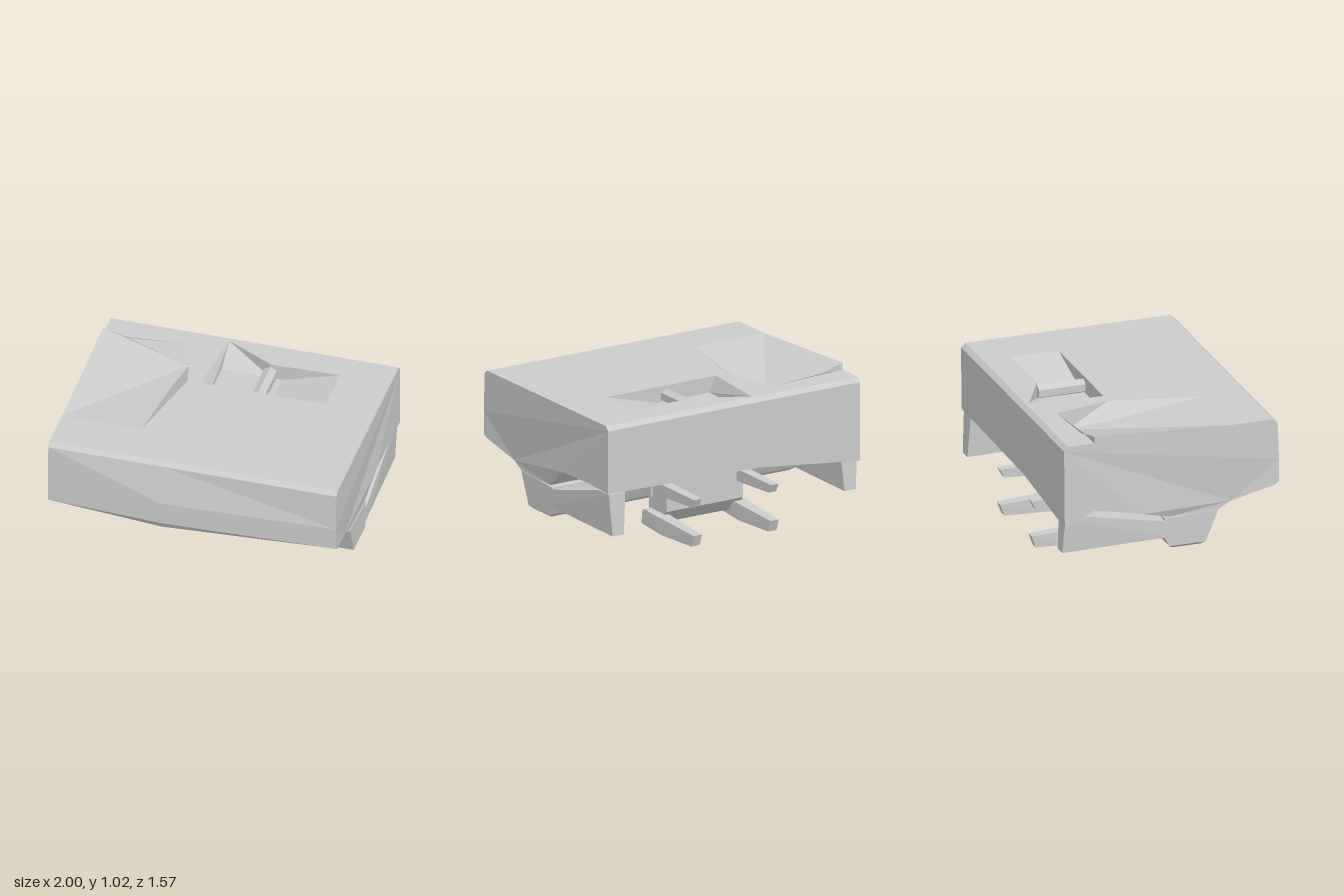
import * as THREE from 'three';
import { ConvexGeometry } from 'three/addons/geometries/ConvexGeometry.js';

const mat = new THREE.MeshStandardMaterial({ color: 0xcccccc, flatShading: true, side: THREE.DoubleSide });
const V = (p) => new THREE.Vector3(...p);

// Flat faces, each given as a fan of corners
function faces(list) {
  const pos = [];
  for (const f of list)
    for (let i = 1; i < f.length - 1; i++) pos.push(...f[0], ...f[i], ...f[i + 1]);
  const g = new THREE.BufferGeometry();
  g.setAttribute('position', new THREE.Float32BufferAttribute(pos, 3));
  g.computeVertexNormals();
  return g;
}

// Solid with its [z, y] outline spanning x0..x1, optionally inset at both ends
const bar = (outline, x0, x1, inset = 0) => new ConvexGeometry(
  outline.flatMap(([z, y, narrow = 0]) => [
    V([x0 + inset * narrow, y, z]), V([x1 - inset * narrow, y, z])]));

export function createModel() {
  const group = new THREE.Group();
  const add = (name, geometry) => {
    const m = new THREE.Mesh(geometry, mat);
    m.name = name;
    group.add(m);
    return m;
  };

  // Main shell: three side profiles [x, y, z] joined along x, open on top
  const profile = (x, low, nose, chin, p8, p9, p10) => [
    [x, 0.97, 0.70], [x, 0.945, 0.73], [x, 0.68, nose], [x, 0.52, nose],
    [x, chin, nose - 0.03], [low, 0.415, 0.41], [low, 0.36, 0.31], [low, 0.36, -0.03],
    [x, p8, -0.22], [x, p9, -0.56], [x, p10, -0.78], [x, 0.94, -0.785], [x, 0.97, -0.755]];
  const stations = [
    profile(-1, -0.97, 0.74, 0.5, 0.415, 0.49, 0.39),
    profile(-0.2, -0.2, 0.785, 0.47, 0.48, 0.5, 0.48),
    profile(1, 0.97, 0.74, 0.5, 0.505, 0.515, 0.5)];
  const shell = [];
  for (let s = 0; s < 2; s++) {
    const a = stations[s], b = stations[s + 1];
    for (let i = 0; i < a.length - 1; i++) shell.push([a[i], a[i + 1], b[i + 1]], [a[i], b[i + 1], b[i]]);
  }
  for (const [end, flip] of [[stations[0], true], [stations[2], false]]) {
    const tris = THREE.ShapeUtils.triangulateShape(end.map((p) => new THREE.Vector2(-p[2], p[1])), []);
    for (const t of tris) {
      const f = t.map((i) => end[i]);
      shell.push(flip ? f.reverse() : f);
    }
  }
  add('bodyShell', faces(shell));

  // Roof with a side notch and a central opening
  const T = 0.97, D = 0.86;
  const v2 = (l) => l.map(([x, z]) => new THREE.Vector2(x, -z));
  const roof = new THREE.Shape(v2([[-1, -0.755], [1, -0.755], [1, 0.7], [-1, 0.7], [-1, 0.39],
    [-0.3, 0.39], [-0.31, -0.22], [-0.41, -0.62], [-1, -0.57]]));
  roof.holes.push(new THREE.Path(v2([[-0.17, -0.73], [0.17, -0.55], [0.65, -0.56], [0.65, -0.22], [-0.22, -0.22]])));
  add('roof', new THREE.ShapeGeometry(roof).rotateX(-Math.PI / 2).translate(0, T, 0));

  // Tilted roof panel, high on the outer edge and sunk on the inner edge
  const outer = [-1, T, 0.39], tip = [-1, 1.02, -0.57], base = [-1, T, -0.57], cross = [-0.82, T, -0.57];
  const sunk = [-0.4, 0.84, -0.55], mid = [-0.43, 0.88, -0.22], inner = [-0.45, T, 0.39];
  add('tiltedPanel', faces([
    [outer, inner, mid], [outer, mid, sunk], [outer, sunk, tip],
    [inner, [-0.3, T, 0.39], [-0.31, T, -0.22], mid],
    [mid, [-0.31, T, -0.22], sunk], [sunk, [-0.31, T, -0.22], [-0.41, T, -0.62]],
    [cross, sunk, [-0.41, T, -0.62]], [tip, cross, base], [outer, tip, base]]));

  // Sunken bay with a ramp out on one side
  add('roofBay', faces([
    [[-0.17, D, -0.22], [0.25, D, -0.22], [0.25, D, -0.55], [-0.17, D, -0.55]],
    [[0.25, D, -0.22], [0.65, T, -0.22], [0.65, T, -0.56], [0.25, D, -0.55]],
    [[-0.17, T, -0.73], [-0.17, D, -0.55], [0.17, D, -0.55], [0.17, T, -0.55]],
    [[0.17, T, -0.55], [0.17, D, -0.55], [0.25, D, -0.55], [0.65, T, -0.56]],
    [[-0.17, T, -0.73], [-0.22, T, -0.22], [-0.17, D, -0.22], [-0.17, D, -0.55]],
    [[-0.22, T, -0.22], [0.65, T, -0.22], [0.25, D, -0.22], [-0.17, D, -0.22]]]));
  add('bayBar', new THREE.CylinderGeometry(0.05, 0.05, 0.33, 6).rotateX(Math.PI / 2).translate(0.17, 0.9, -0.385));

  // Cross beam below the body
  add('lowerBeam', bar([[0.32, 0.37], [0.23, 0.15], [0.2, 0.127, 1], [0, 0.127, 1],
    [-0.03, 0.15], [-0.07, 0.23], [-0.06, 0.35]], -0.975, 0.975, 0.03));

  // Rear skids on both sides
  for (const [side, name, top] of [[1, 'leftSkid', 0.49], [-1, 'rightSkid', 0.45]]) {
    add(name, bar([[-0.03, 0.22], [-0.03, 0.33], [-0.64, top], [-0.77, top],
      [-0.785, 0.2, 1], [-0.06, 0.23, 1]], side * 0.92 - 0.065, side * 0.92 + 0.065, 0.02));
  }

  // Central bracket hung from the beam
  add('bracketNeck', new THREE.BoxGeometry(0.6, 0.13, 0.2).translate(-0.02, 0.27, -0.1));
  add('bracketPlate', bar([[-0.16, 0.04], [-0.16, 0.36], [-0.28, 0.38], [-0.37, 0.36], [-0.37, 0.14], [-0.28, 0.04]], -0.34, 0.27));

  // Two lower and two upper prongs
  for (const x of [-0.325, 0.285]) {
    add('lowerProng', bar([[-0.15, 0.1, 1], [-0.16, 0.02], [-0.4, 0], [-0.75, 0.008, 1],
      [-0.78, 0.09, 1], [-0.27, 0.12], [-0.17, 0.12, 1]], x - 0.048, x + 0.048, 0.015));
    add('upperProng', bar([[-0.3, 0.26], [-0.75, 0.28, 1], [-0.78, 0.34, 1], [-0.3, 0.35]], x - 0.04, x + 0.04, 0.01));
  }
  return group;
}
